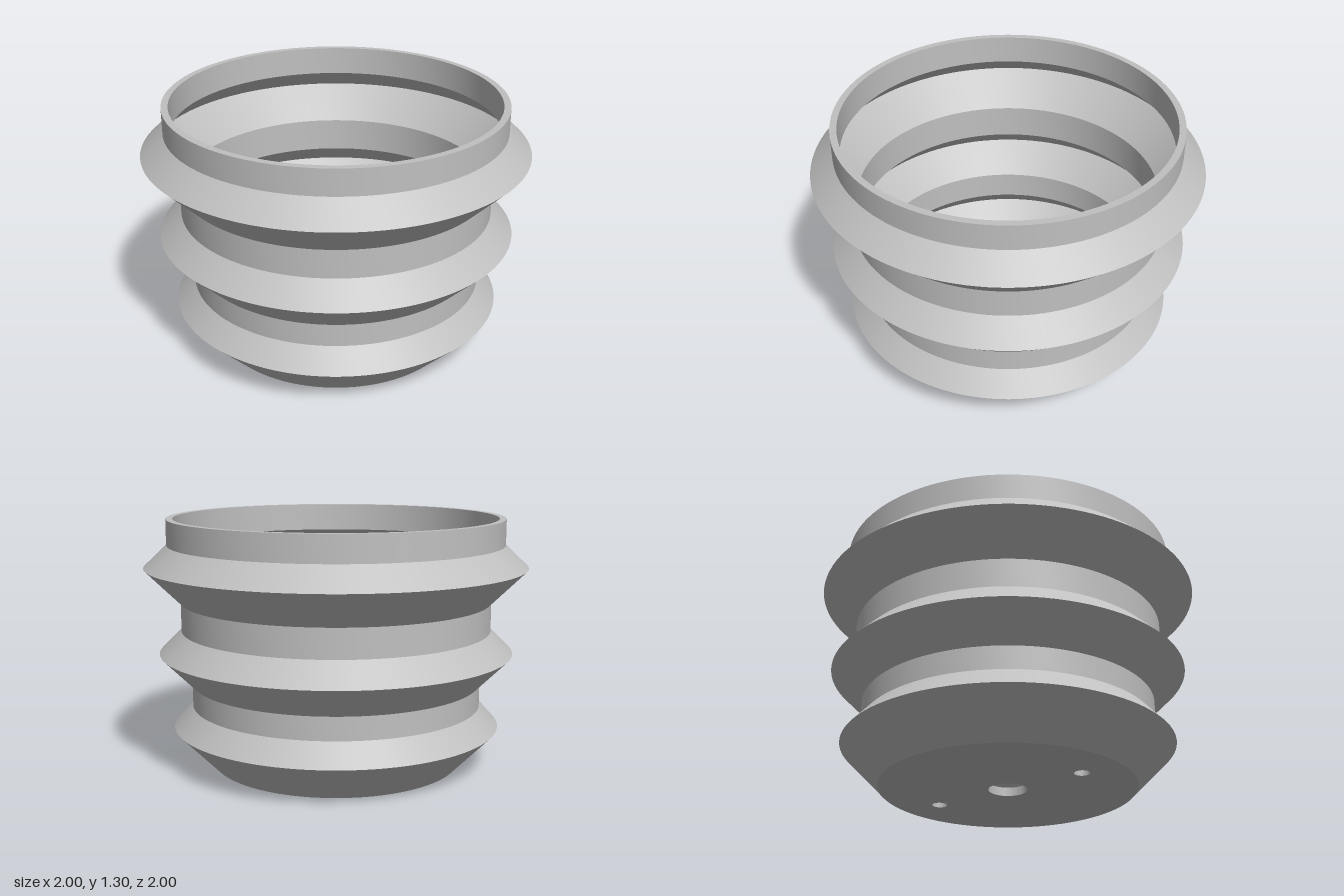
import * as THREE from 'three';
import { toCreasedNormals } from 'three/addons/utils/BufferGeometryUtils.js';

const SEGMENTS = 128;
const WALL = 0.035;
const FLOOR = 0.045;

// Outer profile of the bellows, bottom to top: [radius, height]
const OUTER = [
  [0.66, 0], [0.863, 0.208],
  [0.764, 0.318], [0.764, 0.438], [0.93, 0.604],
  [0.814, 0.721], [0.814, 0.871], [1, 1.055],
  [0.88, 1.17], [0.88, 1.305],
];

// Shift the profile inwards by the wall thickness, mitring each bend
function insetProfile(points, t) {
  const normal = (a, b) => new THREE.Vector2(a.y - b.y, b.x - a.x).normalize();
  return points.map((p, i) => {
    const before = i > 0 ? normal(points[i - 1], p) : null;
    const after = i < points.length - 1 ? normal(p, points[i + 1]) : null;
    const n1 = before ?? after;
    const n2 = after ?? before;
    const mitre = n1.clone().add(n2).multiplyScalar(t / (1 + n1.dot(n2)));
    return p.clone().add(mitre);
  });
}

export function createModel() {
  const group = new THREE.Group();
  group.name = 'bellows';
  const grey = new THREE.MeshStandardMaterial({ color: 0xc0c0c0 });
  grey.name = 'grey';

  // Corrugated wall: up the outside, over the rim, down the inside
  const outer = OUTER.map(([r, y]) => new THREE.Vector2(r, y));
  const inner = insetProfile(outer, WALL);
  inner[0].set(inner[1].x - (inner[1].y - FLOOR / 2), FLOOR / 2);
  const profile = [...outer, ...inner.reverse()];
  const wall = new THREE.Mesh(
    toCreasedNormals(new THREE.LatheGeometry(profile, SEGMENTS), 0.5), grey);
  wall.name = 'corrugatedWall';
  group.add(wall);

  // Floor disc with a central hole and two small side holes
  const disc = new THREE.Shape().absarc(0, 0, 0.66, 0, Math.PI * 2, false);
  for (const [x, r] of [[0, 0.1], [-0.44, 0.04], [0.44, 0.04]]) {
    disc.holes.push(new THREE.Path().absarc(x, 0, r, 0, Math.PI * 2, true));
  }
  const floorGeometry = new THREE.ExtrudeGeometry(disc, {
    depth: FLOOR, bevelEnabled: false, curveSegments: 64,
  });
  floorGeometry.rotateX(-Math.PI / 2);
  const floor = new THREE.Mesh(toCreasedNormals(floorGeometry, 0.5), grey);
  floor.name = 'floor';
  group.add(floor);

  return group;
}
